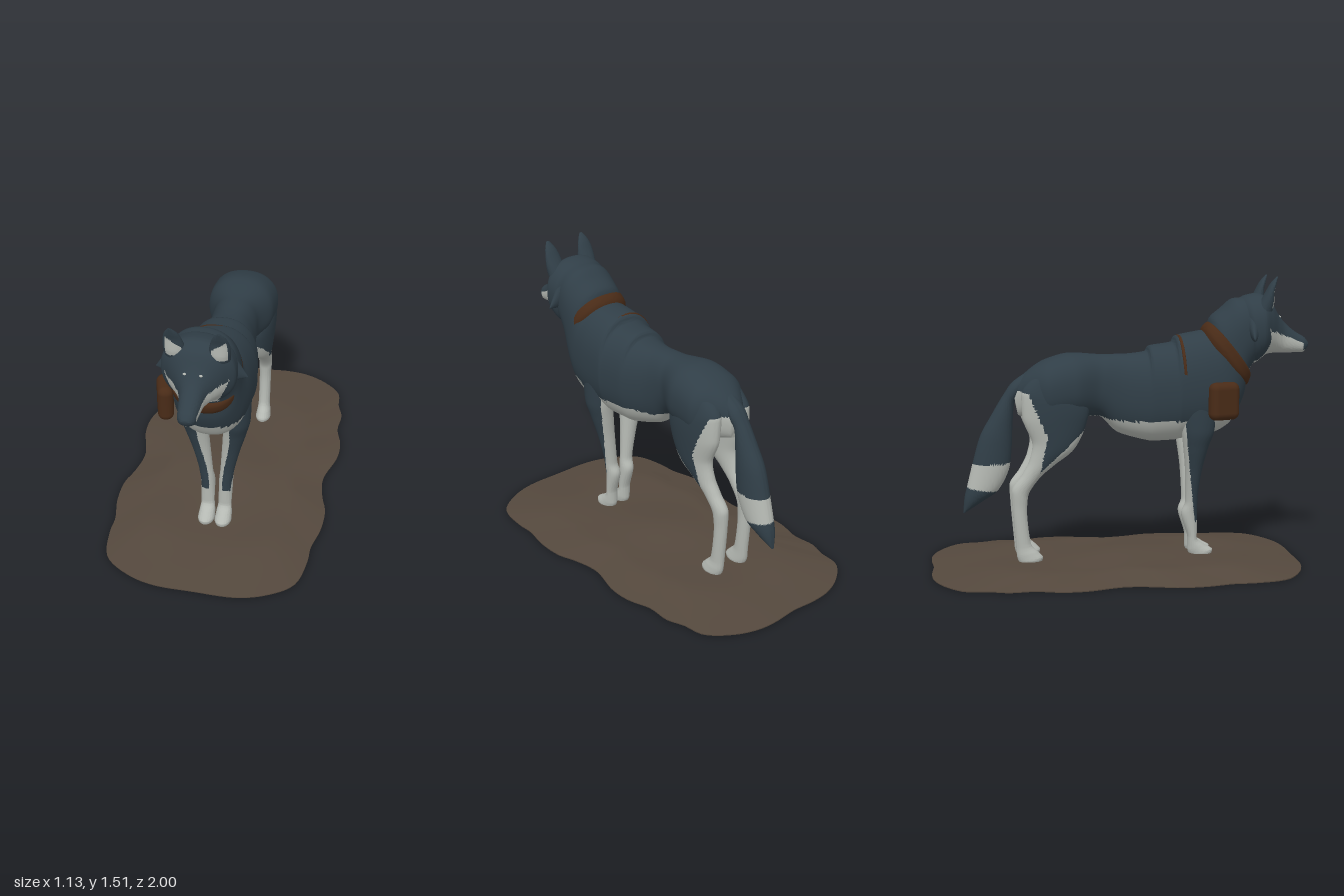
import * as THREE from 'three';
import { toCreasedNormals } from 'three/addons/utils/BufferGeometryUtils.js';
import { RoundedBoxGeometry } from 'three/addons/geometries/RoundedBoxGeometry.js';

const mat = (name, color) => {
  const m = new THREE.MeshStandardMaterial({ color });
  m.name = name;
  return m;
};

// Closed skin over rings of points; paint(x, y, z, k) picks a material index per face (k = place on the ring)
function skin(rings, paint = () => 0, crease = 0.9) {
  const n = rings[0].length, pos = [], tris = [[], []];
  const mean = r => r.reduce((s, p) => s.add(p), new THREE.Vector3()).divideScalar(n);
  const pts = [...rings.flat(), mean(rings[0]), mean(rings[rings.length - 1])];
  pts.forEach(p => pos.push(p.x, p.y, p.z));
  const faces = [], first = rings.length * n, last = first + 1;
  for (let k = 0; k < n; k++) {
    const l = (k + 1) % n, e = (rings.length - 1) * n;
    faces.push([first, l, k, k], [last, e + k, e + l, k]);
    for (let i = 0; i < rings.length - 1; i++) {
      const a = i * n + k, b = i * n + l;
      faces.push([a, b, a + n, k], [b, b + n, a + n, k]);
    }
  }
  // Turn the faces outward according to the enclosed volume
  let volume = 0;
  const cross = new THREE.Vector3();
  for (const [a, b, c] of faces) volume += pts[a].dot(cross.crossVectors(pts[b], pts[c]));
  for (const [a, b, c, k] of faces) {
    const m = cross.copy(pts[a]).add(pts[b]).add(pts[c]).divideScalar(3);
    tris[paint(Math.abs(m.x), m.y, m.z, k / n)].push(...(volume > 0 ? [a, b, c] : [a, c, b]));
  }
  const geo = new THREE.BufferGeometry();
  geo.setAttribute('position', new THREE.Float32BufferAttribute(pos, 3));
  geo.setIndex(tris.flat());
  geo.addGroup(0, tris[0].length, 0);
  if (tris[1].length) geo.addGroup(tris[0].length, tris[1].length, 1);
  return toCreasedNormals(geo, crease);
}

// Smooth loft without overshoot. Row: [z, y of one edge, z, y of the opposite edge, x centre, half width]
function loft(rows, paint, { side = 1, power = 2, seg = 64, steps = 9 } = {}) {
  const slope = (i, c) => {
    if (i === 0 || i === rows.length - 1) return 0;
    const a = rows[i][c] - rows[i - 1][c], b = rows[i + 1][c] - rows[i][c];
    return a * b > 0 ? 2 * a * b / (a + b) : 0;
  };
  const bend = v => Math.sign(v) * Math.pow(Math.abs(v), 2 / power);
  const rings = [];
  for (let i = 0; i < rows.length - 1; i++) {
    for (let s = 0; s < steps + (i === rows.length - 2 ? 1 : 0); s++) {
      const t = s / steps, t2 = t * t, t3 = t2 * t;
      const [za, ya, zb, yb, xc, w] = rows[i].map((p, c) =>
        (2 * t3 - 3 * t2 + 1) * p + (t3 - 2 * t2 + t) * slope(i, c) +
        (3 * t2 - 2 * t3) * rows[i + 1][c] + (t3 - t2) * slope(i + 1, c));
      rings.push(Array.from({ length: seg }, (_, k) => {
        const q = k / seg * Math.PI * 2, u = bend(Math.cos(q)), v = bend(Math.sin(q));
        return new THREE.Vector3(side * xc + w * v,
          (ya + yb) / 2 + u * (ya - yb) / 2, (za + zb) / 2 + u * (za - zb) / 2);
      }));
    }
  }
  return skin(rings, paint);
}

export function createModel() {
  const slate = mat('slate fur', 0x303e47), pale = mat('pale fur', 0xb4b8b2);
  const leather = mat('leather', 0x492b17), earth = mat('earth', 0x54483d);
  const fur = [slate, pale];
  const group = new THREE.Group();
  const add = (name, geo, material) => {
    const m = new THREE.Mesh(geo, material);
    m.name = name;
    group.add(m);
    return m;
  };
  const smooth = THREE.MathUtils.smoothstep;

  // Torso and neck, with stepped fur over the shoulders
  add('torso', loft([
    [-.57, .94, -.54, .80, 0, .04], [-.50, 1.02, -.47, .78, 0, .108], [-.39, 1.09, -.37, .76, 0, .176],
    [-.26, 1.12, -.25, .78, 0, .172], [-.10, 1.11, -.13, .79, 0, .118], [0, 1.11, -.02, .70, 0, .125],
    [.13, 1.125, .13, .655, 0, .165], [.145, 1.15, .16, .65, 0, .172], [.27, 1.172, .28, .655, 0, .192],
    [.285, 1.20, .30, .66, 0, .196], [.40, 1.225, .45, .68, 0, .192], [.455, 1.235, .56, .73, 0, .182],
    [.47, 1.29, .65, .90, 0, .172], [.53, 1.345, .665, 1.0, 0, .172], [.60, 1.395, .70, 1.06, 0, .165],
    [.68, 1.40, .73, 1.10, 0, .14],
  ], (x, y, z) => {
    const belly = y < .77 + .055 * smooth(z, .4, .52) + .025 * smooth(-z, 0, .15);
    const throat = y > 1.03 && z > .655 && x < .08;
    return belly || throat || (y < .93 && z < -.44 - (y - .8) * .4) ? 1 : 0;
  }, { power: 2.3 }), fur);

  // Head with pale jaw and cheeks, dark nose
  add('head', loft([
    [.60, 1.37, .66, 1.08, 0, .12], [.66, 1.41, .70, 1.055, 0, .178], [.72, 1.42, .73, 1.075, 0, .178],
    [.78, 1.39, .77, 1.10, 0, .138], [.83, 1.315, .82, 1.105, 0, .088], [.87, 1.265, .86, 1.105, 0, .062],
    [.93, 1.215, .92, 1.105, 0, .051], [.98, 1.185, .965, 1.105, 0, .043], [1.0, 1.16, .995, 1.13, 0, .022],
  ], (x, y, z) => {
    const nose = z > .967 && y > 1.12;
    const jaw = z > .715 && y < 1.165 + (.95 - z) * .38;
    const throat = z > .685 && y < 1.11;
    return (jaw || throat) && !nose && x < .08 + (y - 1.05) * .4 ? 1 : 0;
  }, { power: 2.25 }), fur);

  // Bushy tail with a pale band
  add('tail', loft([
    [-.50, 1.02, -.50, .92, 0, .05], [-.57, .97, -.545, .89, 0, .05], [-.62, .90, -.56, .86, 0, .045],
    [-.68, .80, -.57, .75, 0, .055], [-.74, .69, -.575, .64, 0, .063], [-.78, .55, -.585, .54, 0, .065],
    [-.81, .43, -.65, .405, 0, .06], [-.825, .365, -.73, .35, 0, .043], [-.832, .288, -.82, .292, 0, .008],
  ], (x, y, z) => (y < .55 && y > .40 - (z + .65) * .15 ? 1 : 0)), fur);

  for (const side of [1, -1]) {
    const label = side > 0 ? 'left' : 'right';

    add(label + 'FrontLeg', loft([
      [.45, 1.0, .25, 1.0, .09, .06], [.485, .85, .275, .85, .112, .07], [.475, .72, .30, .72, .115, .066],
      [.445, .62, .315, .62, .10, .06], [.415, .48, .33, .48, .076, .046], [.40, .33, .335, .33, .055, .036],
      [.40, .25, .315, .26, .048, .037], [.40, .13, .35, .13, .046, .035], [.44, .09, .35, .07, .045, .041],
      [.485, .06, .36, .04, .045, .044], [.48, .04, .37, .03, .045, .04],
    ], (x, y, z) => {
      const inner = .035 + .05 * smooth(y, .25, .65);
      return y > .76 || (y > .22 && x > inner && z > .315 + (.75 - y) * .13) ? 0 : 1;
    }, { side }), fur);

    add(label + 'HindLeg', loft([
      [-.24, 1.0, -.47, 1.0, .085, .068], [-.18, .85, -.53, .92, .095, .074], [-.20, .75, -.525, .80, .1, .067],
      [-.26, .63, -.475, .66, .098, .056], [-.36, .55, -.49, .58, .095, .044], [-.44, .48, -.53, .50, .09, .038],
      [-.50, .38, -.585, .41, .086, .036], [-.505, .30, -.58, .31, .085, .032], [-.485, .13, -.565, .13, .085, .032],
      [-.45, .09, -.56, .07, .087, .038], [-.425, .06, -.55, .04, .087, .042], [-.43, .04, -.54, .03, .087, .036],
    ], (x, y, z) => {
      if (y > .93) return 0;
      const back = -.40 - (y > .7 ? (y - .7) * .43 : (.7 - y) * .2);
      return x > .082 && z > back && y > .72 + .95 * (z + .22) ? 0 : 1;
    }, { side }), fur);

    // Upright ears, pale inside
    add(label + 'Ear', loft([
      [.775, 1.33, .69, 1.34, .105, .05], [.785, 1.38, .715, 1.385, .107, .051], [.785, 1.43, .74, 1.43, .11, .045],
      [.795, 1.475, .765, 1.475, .112, .031], [.803, 1.51, .795, 1.51, .113, .008],
    ], (x, y, z, k) => {
      const front = Math.min(k, 1 - k) < .14;
      return front && y > 1.35 && y < 1.40 + (x - .07) * .8 ? 1 : 0;
    }, { side, seg: 40 }), fur);

    // Pointed cheek fur
    const root = new THREE.Vector3(side * .105, 1.245, .68), tip = new THREE.Vector3(side * .222, 1.19, .66);
    const dir = tip.clone().sub(root);
    const tuft = add(label + 'CheekTuft', new THREE.ConeGeometry(.095, dir.length(), 24), slate);
    tuft.position.copy(root).addScaledVector(dir, .5);
    tuft.quaternion.setFromUnitVectors(new THREE.Vector3(0, 1, 0), dir.normalize());
    tuft.scale.z = .5;

    const eye = add(label + 'Eye', new THREE.SphereGeometry(.009, 12, 8), pale);
    eye.position.set(side * .038, 1.297, .836);
    eye.scale.set(1, .6, .8);
  }

  // Collar, half sunk in the neck fur and showing most at the chest
  add('collar', loft([
    [.422, 1.21, .60, .93, -.006, .15], [.43, 1.243, .66, .94, -.006, .176],
    [.462, 1.272, .681, .995, -.006, .174], [.48, 1.25, .65, 1.03, -.006, .15],
  ], undefined, { power: 2.3, steps: 4 }), leather);
  add('shoulderStrap', loft([
    [.290, 1.19, .31, .74, -.004, .175], [.293, 1.204, .315, .74, -.004, .188],
    [.305, 1.207, .33, .74, -.004, .188], [.310, 1.19, .335, .74, -.004, .175],
  ], undefined, { power: 2.3, steps: 2 }), leather);

  // Pouch hanging at the right shoulder
  const pouch = add('pouch', new RoundedBoxGeometry(.08, .195, .165, 5, .037), leather);
  pouch.position.set(-.226, .882, .5);
  pouch.rotation.y = .3;

  // Uneven ground slab: half an outline, mirrored and splined
  const half = [[0, -.99], [.14, -1], [.25, -.99], [.37, -.94], [.48, -.84], [.5, -.72], [.53, -.63], [.525, -.5],
    [.56, -.37], [.56, -.25], [.51, -.05], [.53, .1], [.56, .2], [.56, .35], [.53, .5], [.53, .6], [.49, .78],
    [.36, .88], [.22, .925], [0, .93]];
  const outline = [...half, ...half.slice(1, -1).reverse().map(([x, z]) => [-x, z])];
  const rim = new THREE.CatmullRomCurve3(outline.map(([x, z]) => new THREE.Vector3(x, 0, z)), true)
    .getSpacedPoints(160).slice(0, -1);
  const levels = Array.from({ length: 17 }, (_, i) => .03 + .97 * i / 16);
  const slab = levels.map(s => rim.map(p => {
    const x = p.x * s, z = p.z * s, fade = Math.min(1, (1 - s) / .35);
    const bump = .004 * Math.sin(11 * x + 3 * z) * Math.sin(8 * z - 2 * x);
    const ridge = .028 * Math.exp(-((z / .22) ** 2) - (x / .26) ** 2);
    return new THREE.Vector3(x, .005 + fade * (.038 + bump + ridge), z);
  }));
  slab.push(rim.map(p => p.clone()));
  add('ground', skin(slab, undefined, .5), earth);

  return group;
}
